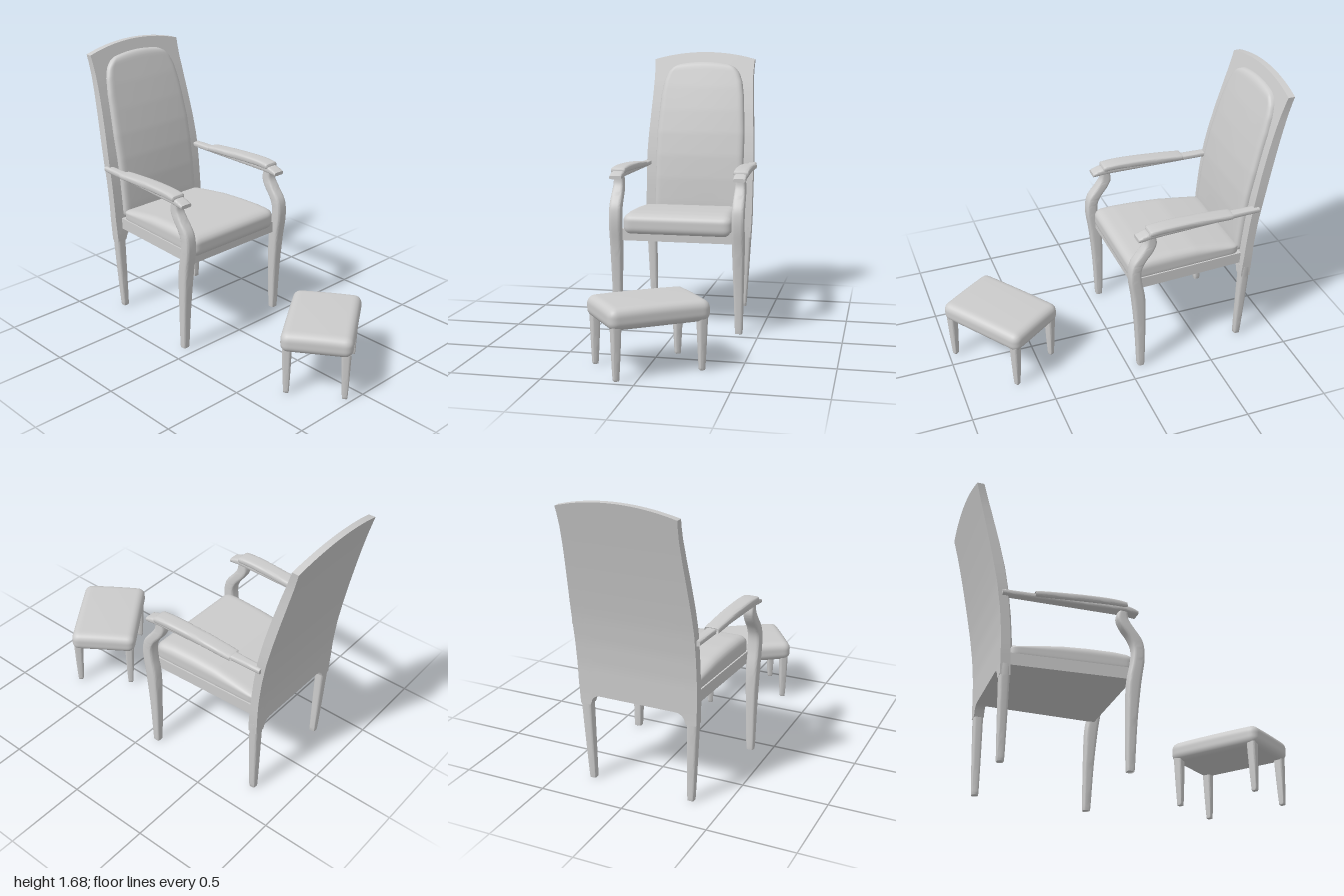
import * as THREE from 'three';
import { mergeVertices, toCreasedNormals } from 'three/addons/utils/BufferGeometryUtils.js';

const material = new THREE.MeshStandardMaterial({ color: 0xcccccc });
const { clamp, lerp } = THREE.MathUtils;

function part(name, geometry) {
  const mesh = new THREE.Mesh(geometry, material);
  mesh.name = name;
  return mesh;
}

// Linear lookup in a small table of [key, value] pairs
function lookup(table, k) {
  let i = 0;
  while (i < table.length - 2 && k > table[i + 1][0]) i++;
  const [a, va] = table[i], [b, vb] = table[i + 1];
  return lerp(va, vb, clamp((k - a) / (b - a), 0, 1));
}

// Moves every vertex by a rule, then rebuilds the normals
function reshape(geometry, rule, crease) {
  geometry.deleteAttribute('uv');
  geometry.deleteAttribute('normal');
  const p = geometry.attributes.position, v = new THREE.Vector3();
  for (let i = 0; i < p.count; i++) {
    rule(v.fromBufferAttribute(p, i));
    p.setXYZ(i, v.x, v.y, v.z);
  }
  const merged = mergeVertices(geometry, 1e-5);
  if (crease) return toCreasedNormals(merged, crease);
  merged.computeVertexNormals();
  return merged;
}

// Finely divided box with rounded edges and an optional further rule
function pillow(w, h, d, r, segs, rule = () => {}) {
  const inner = new THREE.Vector3(w / 2 - r, h / 2 - r, d / 2 - r);
  const low = inner.clone().negate(), core = new THREE.Vector3();
  return reshape(new THREE.BoxGeometry(w, h, d, ...segs), v => {
    core.copy(v).clamp(low, inner);
    v.sub(core).setLength(r).add(core);
    rule(v);
  });
}

// Loft of rounded rectangles; sections are [x, y, z, width, depth] along the axis
function loft(sections, axis, steps = 32) {
  const spline = pick => new THREE.CatmullRomCurve3(sections.map(pick), false, 'catmullrom');
  const centre = spline(s => new THREE.Vector3(s[0], s[1], s[2]));
  const size = spline(s => new THREE.Vector3(s[3], s[4], 0));
  const n = 20, pos = [], index = [];
  const round = a => Math.sign(a) * Math.pow(Math.abs(a), 0.45) / 2;
  for (let k = 0; k <= steps; k++) {
    const c = centre.getPoint(k / steps), s = size.getPoint(k / steps);
    for (let i = 0; i < n; i++) {
      const t = (i + 0.5) / n * Math.PI * 2;
      const a = round(Math.cos(t)) * s.x, b = round(Math.sin(t)) * s.y;
      if (axis === 'y') pos.push(c.x + a, c.y, c.z - b);
      else pos.push(c.x + a, c.y + b, c.z);
      if (k < steps) {
        const p = k * n + i, q = k * n + (i + 1) % n;
        index.push(p, q, q + n, p, q + n, p + n);
      }
    }
  }
  // End caps
  const end = steps * n;
  for (let i = 1; i < n - 1; i++) index.push(0, i + 1, i, end, end + i, end + i + 1);
  const g = new THREE.BufferGeometry();
  g.setAttribute('position', new THREE.Float32BufferAttribute(pos, 3));
  g.setIndex(index);
  return toCreasedNormals(g, 0.7);
}

// Front and rear faces of the raked back, and its half width, by height
const backFront = [[0.5, -0.74], [0.7, -0.752], [0.85, -0.765], [1, -0.785], [1.15, -0.813],
  [1.3, -0.848], [1.45, -0.888], [1.6, -0.933], [1.68, -0.957]];
const backRear = [[0.5, -0.797], [0.7, -0.803], [0.85, -0.817], [1, -0.84], [1.15, -0.87],
  [1.3, -0.903], [1.45, -0.938], [1.6, -0.975], [1.68, -0.995]];
const backWidth = [[0.45, 0.35], [0.6, 0.357], [1, 0.36], [1.1, 0.356], [1.25, 0.347],
  [1.4, 0.338], [1.52, 0.334], [1.6, 0.337], [1.68, 0.345]];

function backPanel() {
  return reshape(new THREE.BoxGeometry(2, 1, 1, 56, 32, 2), v => {
    const ax = Math.abs(v.x) * 0.355;
    const top = 1.68 - 0.048 * v.x * v.x;
    const f = clamp((ax - 0.23) / 0.06, 0, 1);
    const bottom = 0.525 - 0.06 * (1 - Math.sqrt(1 - f * f));
    v.y = lerp(bottom, top, v.y + 0.5);
    v.x *= lookup(backWidth, v.y);
    v.z = lerp(lookup(backRear, v.y), lookup(backFront, v.y), v.z + 0.5);
  }, 0.6);
}

function backCushion() {
  const width = [[0.6, 0.295], [1.15, 0.295], [1.4, 0.28], [1.5, 0.265], [1.56, 0.243],
    [1.595, 0.215], [1.615, 0.185]];
  return pillow(0.59, 0.995, 0.06, 0.028, [40, 60, 8], v => {
    const u = v.x / 0.295, h = v.y / 0.4975;
    v.y += 1.1175;
    v.x *= lookup(width, v.y) / 0.295;
    v.y -= 0.02 * u * u * Math.max(h, 0);
    const puff = v.z > 0 ? 0.008 * (1 - u * u) * (1 - h * h) : 0;
    v.z += lookup(backFront, v.y) + puff;
  });
}

// Seat narrows towards the back
const seatTaper = z => lerp(1, 0.9, clamp((-0.04 - z) / 0.7, 0, 1));

function seatCushion() {
  const drop = [[-0.745, 0.05], [-0.6, 0.027], [-0.45, 0.007], [-0.3, 0], [-0.15, 0], [-0.03, 0.012]];
  return pillow(0.675, 0.14, 0.715, 0.05, [40, 16, 40], v => {
    v.z -= 0.3875;
    if (v.y > 0) v.y -= lookup(drop, v.z) * v.y / 0.07;
    v.y += 0.648;
    v.x *= seatTaper(v.z);
  });
}

function seatFrame() {
  return reshape(new THREE.BoxGeometry(0.69, 0.07, 0.7), v => {
    v.z -= 0.4;
    v.y += 0.58;
    v.x *= seatTaper(v.z);
  }, 0.5);
}

function footstool() {
  const stool = new THREE.Group();
  stool.name = 'footstool';
  const top = part('footstoolCushion', pillow(0.575, 0.12, 0.405, 0.045, [40, 16, 32], v => {
    // Gently domed top and flatter underside
    if (v.y > 0) v.y += 0.004 * (1 - (v.x / 0.29) ** 2 - (v.z / 0.2) ** 2);
    else v.y = Math.max(v.y, -0.058);
  }));
  top.position.y = 0.325;
  stool.add(top);
  for (const sx of [1, -1]) for (const sz of [1, -1]) {
    const x = sx * 0.244, z = sz * 0.165;
    stool.add(part('footstoolLeg', loft([
      [x, 0, z, 0.026, 0.026], [x, 0.012, z, 0.032, 0.032],
      [x, 0.14, z, 0.044, 0.044], [x, 0.285, z, 0.054, 0.054]], 'y', 18)));
  }
  stool.position.z = 0.681;
  stool.rotation.y = 0.615;
  return stool;
}

export function createModel() {
  const model = new THREE.Group();
  model.name = 'armchairWithFootstool';
  const chair = new THREE.Group();
  chair.name = 'armchair';
  chair.add(
    part('backPanel', backPanel()),
    part('backCushion', backCushion()),
    part('seatCushion', seatCushion()),
    part('seatFrame', seatFrame()));

  for (const s of [1, -1]) {
    // Front leg sweeps up into the arm support
    chair.add(part('frontLeg', loft([
      [s * 0.378, 0, -0.08, 0.038, 0.034], [s * 0.378, 0.02, -0.08, 0.046, 0.044],
      [s * 0.376, 0.28, -0.072, 0.06, 0.06], [s * 0.375, 0.5, -0.058, 0.072, 0.076],
      [s * 0.375, 0.63, -0.037, 0.075, 0.072], [s * 0.375, 0.71, -0.034, 0.075, 0.068],
      [s * 0.375, 0.77, -0.053, 0.074, 0.075], [s * 0.375, 0.835, -0.1, 0.07, 0.076],
      [s * 0.375, 0.885, -0.125, 0.064, 0.066], [s * 0.375, 0.94, -0.122, 0.06, 0.05]], 'y', 54)));

    chair.add(part('backLeg', loft([
      [s * 0.305, 0, -0.762, 0.034, 0.032], [s * 0.306, 0.02, -0.762, 0.041, 0.04],
      [s * 0.314, 0.25, -0.765, 0.053, 0.05], [s * 0.321, 0.47, -0.768, 0.063, 0.056],
      [s * 0.323, 0.53, -0.769, 0.063, 0.056]], 'y')));

    // Wooden arm with a drooping front tip
    chair.add(part('armRail', loft([
      [s * 0.353, 0.945, -0.81, 0.05, 0.03], [s * 0.358, 0.945, -0.62, 0.056, 0.032],
      [s * 0.368, 0.944, -0.35, 0.066, 0.034], [s * 0.376, 0.944, -0.13, 0.076, 0.038],
      [s * 0.378, 0.938, -0.08, 0.076, 0.036], [s * 0.378, 0.929, -0.04, 0.074, 0.022]], 'z')));

    chair.add(part('armPad', loft([
      [s * 0.362, 0.953, -0.622, 0.072, 0.022], [s * 0.363, 0.954, -0.612, 0.084, 0.034],
      [s * 0.369, 0.965, -0.4, 0.09, 0.042], [s * 0.376, 0.969, -0.22, 0.092, 0.042],
      [s * 0.379, 0.964, -0.12, 0.092, 0.036], [s * 0.379, 0.96, -0.105, 0.08, 0.022]], 'z')));
  }

  model.add(chair, footstool());
  return model;
}
